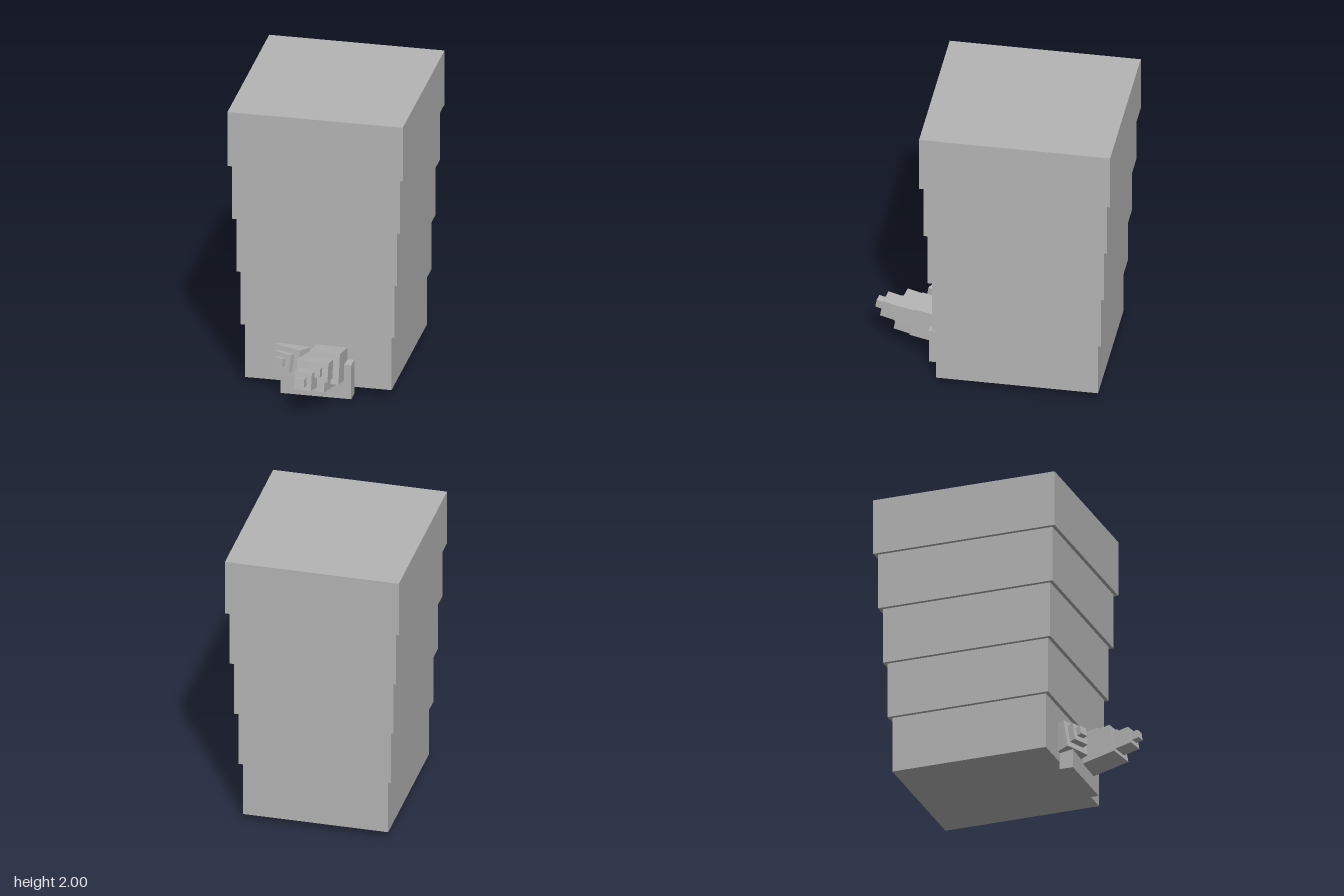
import * as THREE from 'three';

const grey = new THREE.MeshStandardMaterial({ color: 0xb4b4b4 });
grey.name = 'grey';

function box(name, w, h, d, x, y, z) {
  const mesh = new THREE.Mesh(new THREE.BoxGeometry(w, h, d), grey);
  mesh.name = name;
  mesh.position.set(x, y, z);
  return mesh;
}

// A stepped spike: each step is [size, length, x, y, z] with the centre of its front face
function spike(name, yaw, steps) {
  const group = new THREE.Group();
  group.name = name;
  const turn = new THREE.Euler(-0.18, yaw, 0, 'YXZ');
  for (const [size, length, x, y, z] of steps) {
    const step = box('spikeStep', size, size, length, x, y, z);
    step.geometry.translate(0, 0, -length / 2);
    step.rotation.copy(turn);
    group.add(step);
  }
  return group;
}

export function createModel() {
  const model = new THREE.Group();
  model.name = 'steppedTower';

  // Five tiers, each a little wider than the one below
  const tierHeight = 0.39;
  for (let i = 0; i < 5; i++) {
    model.add(box('tier', 0.99 + i * 0.049, tierHeight, 1.085 + i * 0.049,
      -0.003, 0.05 + tierHeight * (i + 0.5), -0.195));
  }

  // Low block in front of the bottom tier
  model.add(box('frontBlock', 0.48, 0.245, 0.095, 0, 0.1225, 0.3925));

  // Three stepped spikes growing out of the front
  model.add(spike('leftSpike', -0.05, [
    [0.21, 0.26, 0.08, 0.262, 0.555],
    [0.13, 0.16, 0.07, 0.283, 0.675],
    [0.06, 0.1, 0.062, 0.298, 0.73],
  ]));
  model.add(spike('middleSpike', -0.13, [
    [0.2, 0.36, 0.015, 0.247, 0.668],
    [0.12, 0.16, -0.012, 0.256, 0.783],
    [0.058, 0.1, -0.021, 0.265, 0.831],
  ]));
  model.add(spike('rightSpike', -0.37, [
    [0.2, 0.2, -0.2, 0.232, 0.445],
    [0.125, 0.14, -0.22, 0.244, 0.483],
    [0.06, 0.1, -0.236, 0.254, 0.514],
  ]));

  return model;
}
